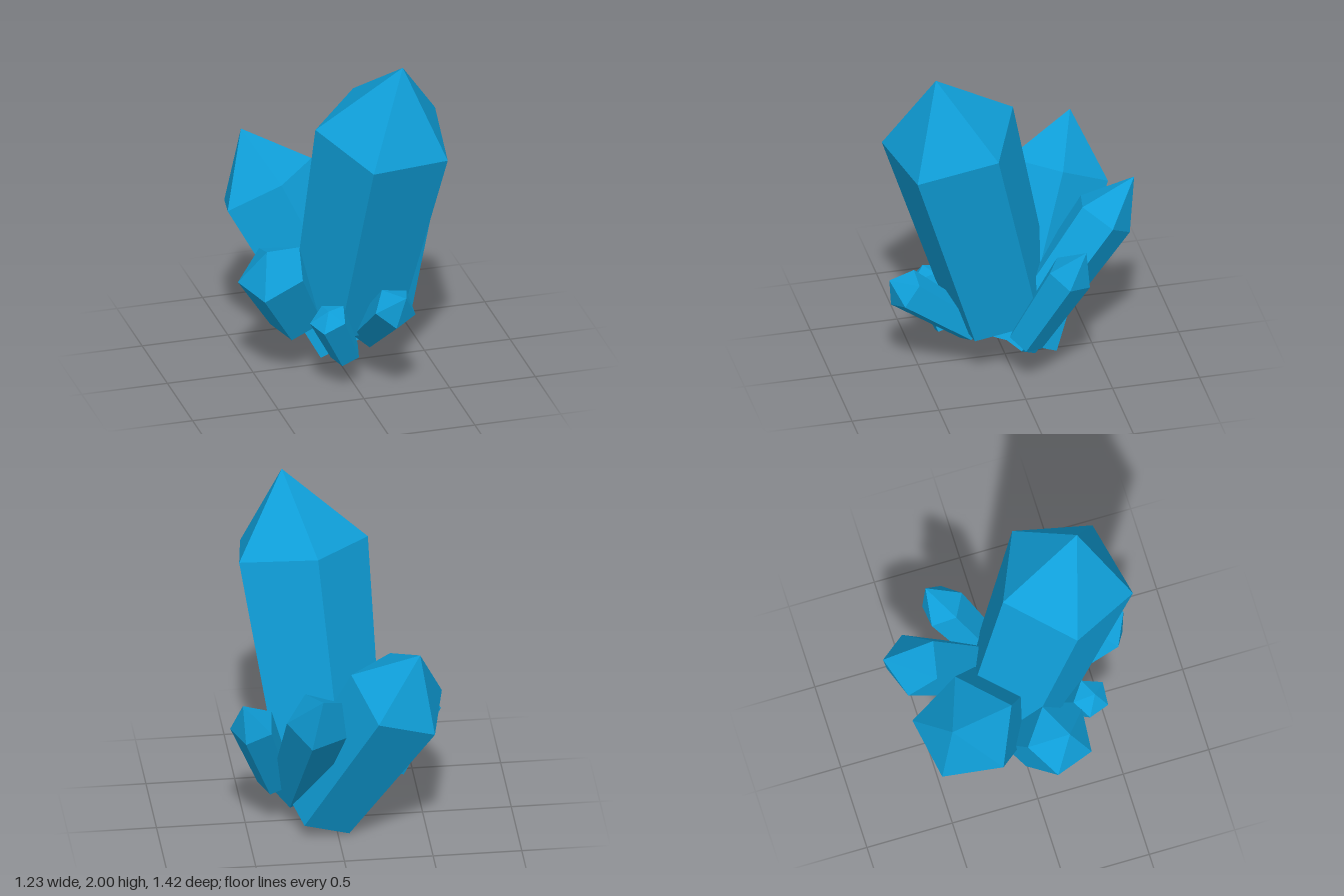
import * as THREE from 'three';

const UP = new THREE.Vector3(0, 1, 0);
const SIDES = 5;
const TAPER = 0.8; // foot radius relative to shoulder radius

// foot = centre of the lower ring, shoulder = centre of the upper ring, tip = apex,
// spin = turn of the pentagon in degrees
const CRYSTALS = [
  { name: 'mainCrystal', foot: [0.045, 0.355, 0.033], shoulder: [0.166, 1.563, 0.354], tip: [0.24, 2.0, 0.455], radius: 0.4, spin: -24.5 },
  { name: 'backRightCrystal', foot: [0.078, 0.122, -0.041], shoulder: [-0.325, 0.968, -0.373], tip: [-0.43, 1.28, -0.478], radius: 0.303, spin: 8.6 },
  { name: 'backCrystal', foot: [0.22, 0.22, 0], shoulder: [0.149, 0.92, -0.53], tip: [0.143, 1.145, -0.71], radius: 0.181, spin: 21 },
  { name: 'leftCrystal', foot: [0.333, 0.287, -0.04], shoulder: [0.486, 0.765, -0.257], tip: [0.553, 0.94, -0.337], radius: 0.132, spin: 8.5 },
  { name: 'rightCrystal', foot: [-0.243, 0.32, 0.02], shoulder: [-0.43, 0.68, 0.154], tip: [-0.477, 0.83, 0.195], radius: 0.208, spin: 38 },
  { name: 'smallFrontRightCrystal', foot: [-0.05, 0.197, 0.313], shoulder: [-0.178, 0.475, 0.41], tip: [-0.185, 0.53, 0.43], radius: 0.112, spin: 38 },
  { name: 'smallFrontCrystal', foot: [0.11, 0.275, 0.22], shoulder: [0.15, 0.593, 0.61], tip: [0.185, 0.69, 0.71], radius: 0.123, spin: -5 },
];

// Tapered five-sided shaft with a flat foot and a pointed end
function crystalGeometry({ foot, shoulder, tip, radius, spin }) {
  const start = new THREE.Vector3(...foot);
  const axis = new THREE.Vector3(...shoulder).sub(start);
  const length = axis.length();
  const profile = [
    new THREE.Vector2(0, 0),
    new THREE.Vector2(radius * TAPER, 0),
    new THREE.Vector2(radius, length),
    new THREE.Vector2(0, length + radius),
  ];
  const geometry = new THREE.LatheGeometry(profile, SIDES, THREE.MathUtils.degToRad(spin));

  // Lean the shaft along its axis, then pull the apex to its own place
  const lean = new THREE.Quaternion().setFromUnitVectors(UP, axis.normalize());
  geometry.applyMatrix4(new THREE.Matrix4().compose(start, lean, new THREE.Vector3(1, 1, 1)));
  const position = geometry.attributes.position;
  for (let i = profile.length - 1; i < position.count; i += profile.length) {
    position.setXYZ(i, ...tip);
  }

  const faceted = geometry.toNonIndexed();
  faceted.computeVertexNormals();
  return faceted;
}

export function createModel() {
  const group = new THREE.Group();
  group.name = 'crystalCluster';
  const material = new THREE.MeshStandardMaterial({ color: 0x0f9fd9, flatShading: true });
  for (const crystal of CRYSTALS) {
    const mesh = new THREE.Mesh(crystalGeometry(crystal), material);
    mesh.name = crystal.name;
    group.add(mesh);
  }
  return group;
}
